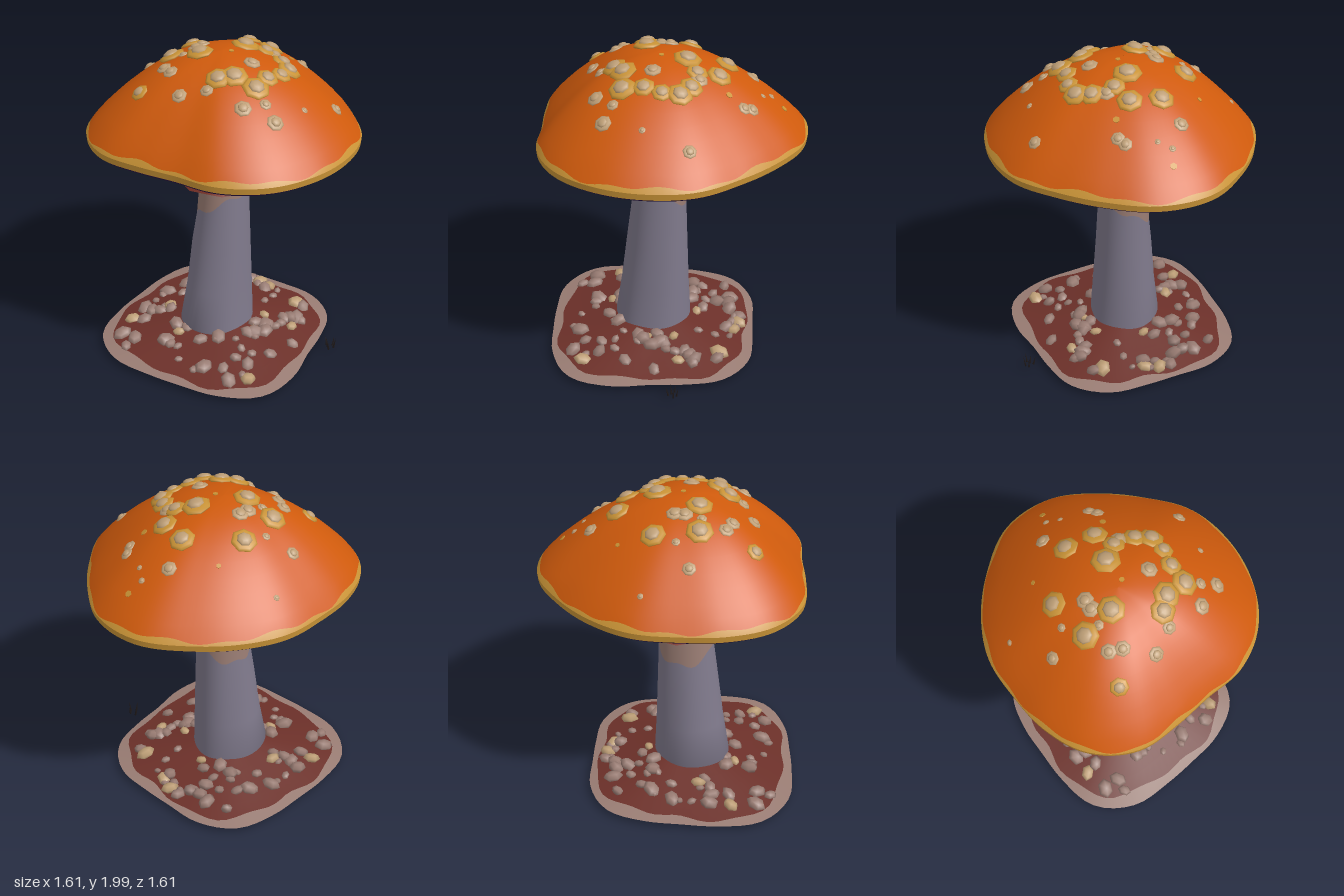
import * as THREE from 'three';
import { mergeGeometries } from 'three/addons/utils/BufferGeometryUtils.js';

const mat = (name, color, side = THREE.FrontSide) =>
  new THREE.MeshStandardMaterial({ name, color, side });
const TAU = Math.PI * 2;

function seeded(seed) {
  return () => (seed = (seed * 16807) % 2147483647) / 2147483647;
}

// Smooth periodic radius from values at equal angle steps (from +x towards +z)
function polar(radii) {
  const n = radii.length;
  return (a) => {
    const t = (((a / TAU) % 1) + 1) % 1 * n, i = Math.floor(t), f = t - i;
    const [p, q, r, s] = [-1, 0, 1, 2].map((k) => radii[(i + k + n) % n]);
    return q + 0.5 * f * (r - p + f * (2 * p - 5 * q + 4 * r - s + f * (3 * (q - r) + s - p)));
  };
}

// Grid surface; strips[i] is the material index between row i and row i + 1
function surface(rows, cols, point, closed = true, strips = null) {
  const pos = [], idx = [], width = closed ? cols : cols + 1;
  for (let i = 0; i < rows; i++) for (let j = 0; j < width; j++) pos.push(...point(i, j));
  const g = new THREE.BufferGeometry();
  for (let i = 0; i < rows - 1; i++) {
    for (let j = 0; j < cols; j++) {
      const k = (j + 1) % width, a = i * width + j, b = i * width + k;
      idx.push(a, a + width, b, b, a + width, b + width);
    }
    if (strips) g.addGroup(i * cols * 6, cols * 6, strips[i]);
  }
  g.setAttribute('position', new THREE.Float32BufferAttribute(pos, 3));
  g.setIndex(idx);
  g.computeVertexNormals();
  return g;
}

export function createModel() {
  const group = new THREE.Group();
  const orange = mat('cap orange', 0xcf5a0c, THREE.DoubleSide);
  const ochre = mat('ochre', 0xc99336, THREE.DoubleSide);
  const tan = mat('wart tan', 0xbd9e76);
  const cream = mat('stem cream', 0xd2ab74);
  const grey = mat('lavender grey', 0x7f798b);
  const pink = mat('dusty pink', 0x997c73);
  const earth = mat('earth brown', 0x6c3029);
  const red = mat('skirt red', 0x81352a, THREE.DoubleSide);
  const purple = mat('deep purple', 0x2d1548);
  const dark = mat('grass dark', 0x1e1818, THREE.DoubleSide);
  const add = (name, geometry, material) => {
    const m = new THREE.Mesh(geometry, material);
    m.name = name;
    group.add(m);
    return m;
  };

  const capR = polar([0.8, 0.828, 0.825, 0.82, 0.81, 0.765, 0.69, 0.71, 0.785,
    0.806, 0.775, 0.75, 0.775, 0.79, 0.822, 0.882, 0.875, 0.82]);
  const at = (R, a, s, y) => [Math.cos(a) * R(a) * s, y, Math.sin(a) * R(a) * s];

  // Cap dome, with a wavy ochre edge
  const dome = [[1, 1.495], [0.975, 1.525], [0.92, 1.575], [0.85, 1.63], [0.77, 1.69], [0.68, 1.75],
    [0.58, 1.81], [0.47, 1.865], [0.36, 1.908], [0.25, 1.94], [0.13, 1.962], [0.001, 1.968]];
  const domeY = (s) => {
    for (let i = 1; i < dome.length; i++) {
      const [s0, y0] = dome[i - 1], [s1, y1] = dome[i];
      if (s >= s1) return y1 + ((y0 - y1) * (s - s1)) / (s0 - s1);
    }
    return 1.968;
  };
  const N = 120;
  add('cap', surface(dome.length, N, (i, j) => {
    const a = (j / N) * TAU;
    const s = i === 1 ? 0.982 + 0.008 * Math.sin(7 * a) + 0.006 * Math.sin(17 * a + 1) : dome[i][0];
    return at(capR, a, s, domeY(s));
  }, true, dome.slice(1).map((_, i) => (i ? 1 : 0))), [ochre, orange]);

  // Rim
  const rim = [[0.996, 1.458], [1, 1.495]];
  add('capRim', surface(2, N, (i, j) => at(capR, (j / N) * TAU, ...rim[i])), ochre);

  // Underside, purple out to the lip
  const under = [[0.1, 1.6], [0.28, 1.54], [0.5, 1.48], [0.7, 1.45], [0.85, 1.44], [0.965, 1.438], [0.996, 1.458]];
  add('capUnderside', surface(under.length, N, (i, j) => at(capR, (j / N) * TAU, ...under[i]),
    true, [0, 0, 1, 1, 1, 1]), [grey, purple]);

  // Gills: broad rounded ribs of uneven length hanging below the underside
  const gills = [], rand = seeded(7), GILLS = 42;
  const rib = [[0.2, 1.57, 0], [0.35, 1.525, 0.035], [0.5, 1.485, 0.05], [0.65, 1.46, 0.056],
    [0.78, 1.447, 0.047], [0.89, 1.442, 0.038], [0.96, 1.441, 0.003]];
  for (let k = 0; k < GILLS; k++) {
    const a0 = (k / GILLS) * TAU, reach = 0.92 + rand() * 0.08, swing = (rand() - 0.5) * 0.08;
    const wide = 0.38 + 0.11 * rand();
    gills.push(surface(rib.length, 6, (i, j) => {
      const t = j / 3 - 1, [s, y, d] = rib[i];
      const w = (TAU / GILLS) * (i === rib.length - 1 ? 0.22 : wide);
      return at(capR, a0 + t * w + swing * Math.sin(s * 6), s * reach, y - d * Math.sqrt(1 - t * t));
    }, false));
  }
  add('gills', mergeGeometries(gills), grey);

  // Stem sections: y, x range, z range
  const stem = [[0.004, 0.1, 0.102, 0.04, 0.042], [0.008, 0.0, 0.18, -0.12, 0.16], [0.03, -0.14, 0.2, -0.18, 0.23],
    [0.14, -0.268, 0.193, -0.217, 0.244], [0.4, -0.224, 0.184, -0.197, 0.214],
    [0.7, -0.188, 0.174, -0.182, 0.184], [0.97, -0.155, 0.164, -0.169, 0.157],
    [1.15, -0.133, 0.164, -0.168, 0.142], [1.3, -0.118, 0.166, -0.168, 0.132], [1.6, -0.11, 0.163, -0.167, 0.12]];
  add('stem', surface(stem.length, 48, (i, j) => {
    const a = (j / 48) * TAU, [y, x0, x1, z0, z1] = stem[i];
    const wave = i === 6 ? 0.1 * Math.cos(a - 0.8) + 0.018 * Math.sin(5 * a) : 0;
    const lump = 1 + 0.01 * Math.sin(5 * a + y * 3) + 0.05 * Math.cos(2 * (a - 2.5));
    return [(x0 + x1) / 2 + ((x1 - x0) / 2) * Math.cos(a) * lump, y + wave,
      (z0 + z1) / 2 + ((z1 - z0) / 2) * Math.sin(a) * lump];
  }, true, [1, 0, 0, 0, 0, 0, 1, 2, 2]), [grey, pink, cream]);

  // Skirt around the stem, with a ragged red hem
  const skirt = [[0.295, 1.14], [0.27, 1.195], [0.25, 1.23], [0.225, 1.263], [0.145, 1.302]];
  add('skirt', surface(skirt.length, 18, (i, j) => {
    const a = (j / 18) * TAU, [r, y] = skirt[i];
    const rr = r * (1 + (i < 2 ? (j % 2 ? 0.025 : -0.035) : 0));
    return [0.015 + Math.cos(a) * rr, y + (i === 1 ? 0.016 * Math.sin(j * 2.3) : 0),
      -0.043 + Math.sin(a) * rr];
  }, true, [0, 1, 1, 2]), [red, orange, ochre]);

  // Warts on the cap: x, z, radius
  const warts = [-0.13, -0.33, 0.075, 0.21, -0.34, 0.075, 0.27, -0.49, 0.045, -0.4, -0.28, 0.04,
    -0.25, -0.26, 0.025, -0.28, -0.12, 0.08, -0.1, -0.16, 0.05, -0.14, -0.12, 0.05, -0.22, -0.06, 0.03,
    -0.13, -0.01, 0.08, 0.15, -0.1, 0.085, 0.32, -0.2, 0.075, 0.27, -0.08, 0.065, 0.32, -0.06, 0.05,
    0.35, 0.02, 0.07, 0.37, 0.11, 0.075, 0.31, 0.19, 0.06, 0.22, 0.25, 0.065, 0.15, 0.14, 0.05,
    0.14, 0.34, 0.08, 0.03, 0.26, 0.08, -0.06, 0.26, 0.075, -0.13, 0.31, 0.04, -0.28, 0.27, 0.045,
    -0.34, 0.02, 0.045, -0.31, 0.09, 0.045, -0.49, 0.11, 0.055, 0.05, 0.46, 0.05, 0.18, 0.43, 0.035,
    0.22, 0.52, 0.05, 0.63, 0.23, 0.04, 0.41, 0.39, 0.02, 0.53, -0.28, 0.04, 0.52, -0.23, 0.04,
    0.42, -0.51, 0.02, 0.44, -0.43, 0.017, -0.32, -0.55, 0.018];
  const height = (x, z) => domeY(Math.hypot(x, z) / capR(Math.atan2(z, x)));
  const up = new THREE.Vector3(0, 1, 0);
  const placeOnCap = (m, x, z) => {
    const e = 0.04;
    const n = new THREE.Vector3(height(x - e, z) - height(x + e, z), 2 * e, height(x, z - e) - height(x, z + e));
    m.quaternion.setFromUnitVectors(up, n.normalize());
    m.position.set(x, height(x, z), z);
  };
  // Flattened seven-sided dome standing at a given height
  const blob = (r, h, lift, turn) => new THREE.SphereGeometry(1, 7, 4, 0, TAU, 0, Math.PI * 0.6)
    .scale(r, h, r).rotateY(turn).translate(0, lift, 0);
  for (let i = 0; i < warts.length; i += 3) {
    const [x, z, r] = warts.slice(i, i + 3), turn = rand() * 3;
    placeOnCap(add('wartBase', blob(r * 1.03, r * 0.3, 0, turn), r > 0.052 ? ochre : tan), x, z);
    placeOnCap(add('wartCrown', blob(r * 0.6, r * 0.3, r * 0.2, turn + 1), tan), x, z);
  }
  // Small flat flecks
  for (const [x, z, r] of [[0.44, -0.18, 0.02], [0.49, -0.55, 0.02], [0, -0.48, 0.014], [0.05, 0.01, 0.016]])
    placeOnCap(add('capFleck', new THREE.CylinderGeometry(r, r, 0.008, 6), ochre), x, z);

  // Soil mound: a thin rounded-square shell with a dusty edge
  const soilR = polar([0.7, 0.645, 0.63, 0.705, 0.775, 0.735, 0.685, 0.7, 0.77,
    0.78, 0.7, 0.655, 0.68, 0.725, 0.69, 0.625, 0.63, 0.69]);
  const soilY = (s) => 0.034 + 0.115 * Math.pow((1 - s) / 0.75, 1.1);
  const soil = [1, 0.91, 0.75, 0.6, 0.45, 0.33, 0.22];
  add('soil', surface(soil.length, 72, (i, j) => {
    const a = (j / 72) * TAU;
    const s = soil[i] + (i === 1 ? 0.025 * Math.sin(4 * a) + 0.018 * Math.sin(11 * a) : 0);
    return at(soilR, a, s, soilY(s));
  }, true, [0, 1, 1, 1, 1, 1]), [pink, earth]);
  add('soilUnderside', surface(soil.length, 72, (i, j) => {
    const s = soil[soil.length - 1 - i];
    return at(soilR, (j / 72) * TAU, s, soilY(s) - 0.006);
  }), earth);

  // Pebbles
  for (let k = 0; k < 85; k++) {
    const a = rand() * TAU, s = 0.36 + 0.5 * rand(), r = 0.022 + 0.03 * rand();
    const m = add('pebble', new THREE.SphereGeometry(r, 6, 4), k % 8 === 0 ? tan : pink);
    m.position.set(...at(soilR, a, s, soilY(s) + r * 0.1));
    m.scale.set(1.3, 0.75, 1);
    m.rotation.set(rand() * 0.5, rand() * 6, rand() * 0.5);
  }

  // Grass tuft
  for (let k = 0; k < 5; k++) {
    const h = 0.06 + 0.03 * rand();
    const m = add('grassBlade', new THREE.ConeGeometry(0.007, h, 4).translate(0, h / 2, 0), dark);
    m.position.set(0.63 + 0.035 * (k % 2), 0.035, 0.315 + 0.012 * k);
    m.rotation.set((k - 2) * 0.1, 0, ((k % 2) - 0.5) * -0.25);
  }
  return group;
}
